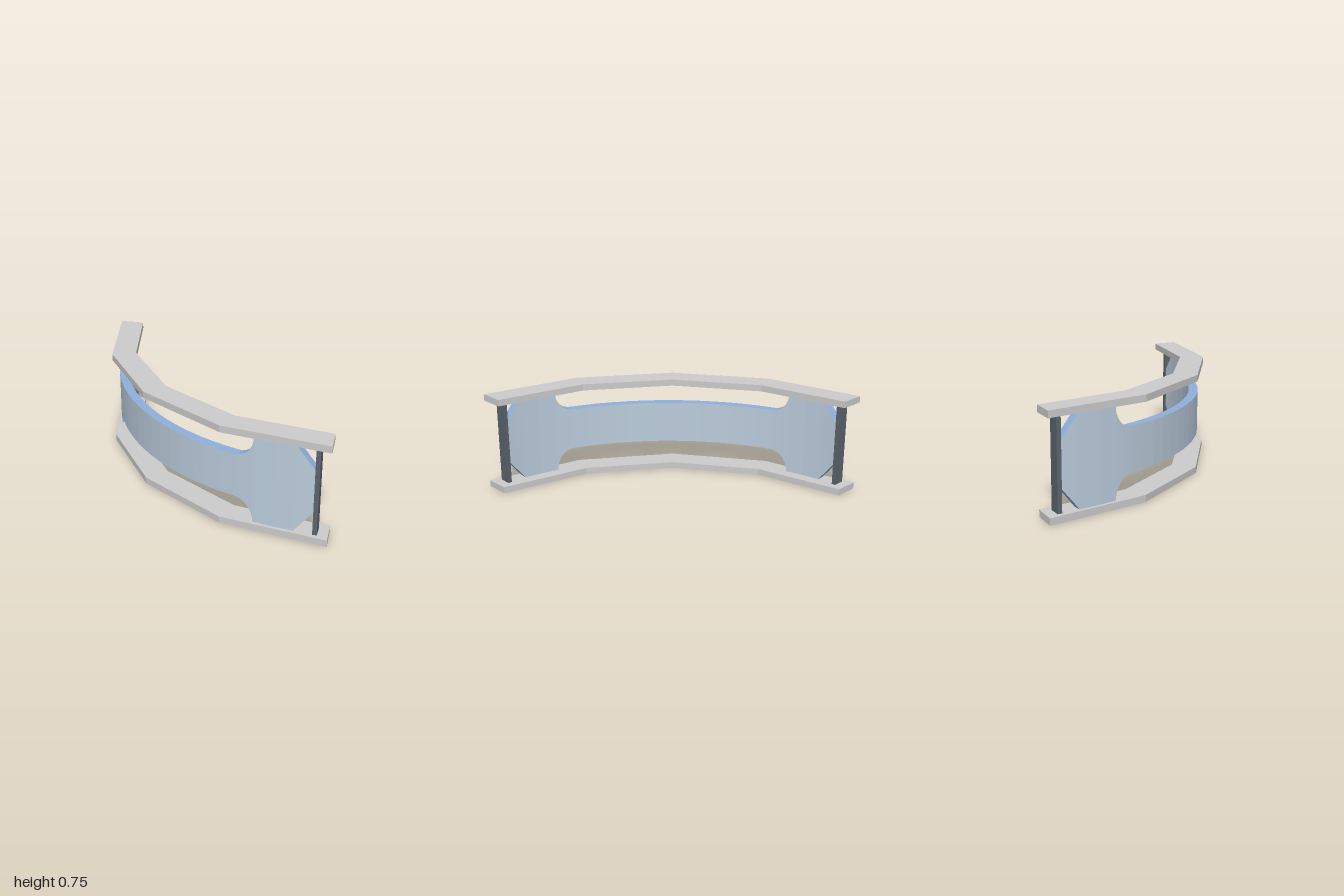
import * as THREE from 'three';

const DEG = Math.PI / 180;
const MID_Y = 0.378, RAIL_H = 0.05, TOTAL_H = 0.755;
const FULL = TOTAL_H / 2 - RAIL_H;   // half height where the panel meets the rails
const NECK = 0.163;                  // half height of the slim middle
const R_IN = 1.87, R_OUT = 1.94;     // panel faces

// Everything bends around the corner (1, -1); angle 0 is the rear end, 90 the left end.
const onArc = (r, deg, y) => [1 - r * Math.cos(deg * DEG), y, -1 + r * Math.sin(deg * DEG)];

const material = (color, extra = {}) => new THREE.MeshStandardMaterial({ color, ...extra });

function addMesh(parent, name, geometry, mat) {
  const mesh = new THREE.Mesh(geometry, mat);
  mesh.name = name;
  parent.add(mesh);
  return mesh;
}

// Faceted rail: a quarter ring of four straight pieces
function railGeometry() {
  const shape = new THREE.Shape();
  const ring = [];
  for (let i = 0; i <= 4; i++) ring.push(onArc(2, i * 22.5, 0));
  for (let i = 4; i >= 0; i--) ring.push(onArc(1.812, i * 22.5, 0));
  shape.setFromPoints(ring.map(([x, , z]) => new THREE.Vector2(x, -z)));
  const geometry = new THREE.ExtrudeGeometry(shape, { depth: RAIL_H, bevelEnabled: false });
  return geometry.rotateX(-Math.PI / 2);
}

// Stations [angle, half height] along the panel: notch, full height, fillet, neck, then mirrored
function panelStations() {
  const half = [];
  const STEPS = 8;
  for (let i = 0; i <= STEPS; i++) {
    const t = (i / STEPS) * Math.PI / 2;
    half.push([7.1 - 3.95 * Math.cos(t), FULL - (FULL - NECK) * Math.cos(t)]);
  }
  half.push([11.5, FULL]);
  for (let i = 0; i <= STEPS; i++) {
    const t = (i / STEPS) * Math.PI / 2;
    half.push([20.2 - 4.35 * Math.cos(t), FULL - (FULL - NECK) * Math.sin(t)]);
  }
  const middle = [];
  for (let i = 1; i < 14; i++) middle.push([20.2 + (49.6 * i) / 14, NECK]);
  const mirrored = half.map(([a, h]) => [90 - a, h]).reverse();
  return [...half, ...middle, ...mirrored];
}

function quadGeometry(quads) {
  const positions = [];
  for (const [a, b, c, d] of quads) positions.push(...a, ...b, ...c, ...a, ...c, ...d);
  const geometry = new THREE.BufferGeometry();
  geometry.setAttribute('position', new THREE.Float32BufferAttribute(positions, 3));
  geometry.computeVertexNormals();
  return geometry;
}

// Curved panel lofted through the stations; broad faces and cut edges are kept apart
function buildPanel() {
  const group = new THREE.Group();
  group.name = 'curvedPanel';
  const sections = panelStations().map(([a, h]) => ({
    ib: onArc(R_IN, a, MID_Y - h), it: onArc(R_IN, a, MID_Y + h),
    ob: onArc(R_OUT, a, MID_Y - h), ot: onArc(R_OUT, a, MID_Y + h),
  }));
  const faces = [], edges = [];
  for (let i = 0; i < sections.length - 1; i++) {
    const p = sections[i], q = sections[i + 1];
    faces.push([p.ob, q.ob, q.ot, p.ot], [q.ib, p.ib, p.it, q.it]);
    edges.push([p.ot, q.ot, q.it, p.it], [p.ib, q.ib, q.ob, p.ob]);
  }
  const s = sections[0], e = sections[sections.length - 1];
  edges.push([s.ib, s.ob, s.ot, s.it], [e.ob, e.ib, e.it, e.ot]);
  addMesh(group, 'panelFaces', quadGeometry(faces), material(0xbccddd, { flatShading: true }));
  addMesh(group, 'panelEdges', quadGeometry(edges), material(0x8fb0dc, { flatShading: true }));
  return group;
}

export function createModel() {
  const model = new THREE.Group();
  model.name = 'curvedBarrier';

  // Bottom and top rails
  const railMaterial = material(0xcccccc);
  const rail = railGeometry();
  addMesh(model, 'bottomRail', rail, railMaterial);
  addMesh(model, 'topRail', rail, railMaterial).position.y = TOTAL_H - RAIL_H;

  model.add(buildPanel());

  // Upright posts closing both ends of the panel
  const postMaterial = material(0x5c646e);
  const post = new THREE.BoxGeometry(0.094, FULL * 2, 0.032);
  for (const [name, angle] of [['rearPost', 2.65], ['leftPost', 87.35]]) {
    const mesh = addMesh(model, name, post, postMaterial);
    mesh.position.set(...onArc(1.905, angle, MID_Y));
    mesh.rotation.y = angle * DEG;
  }
  return model;
}
